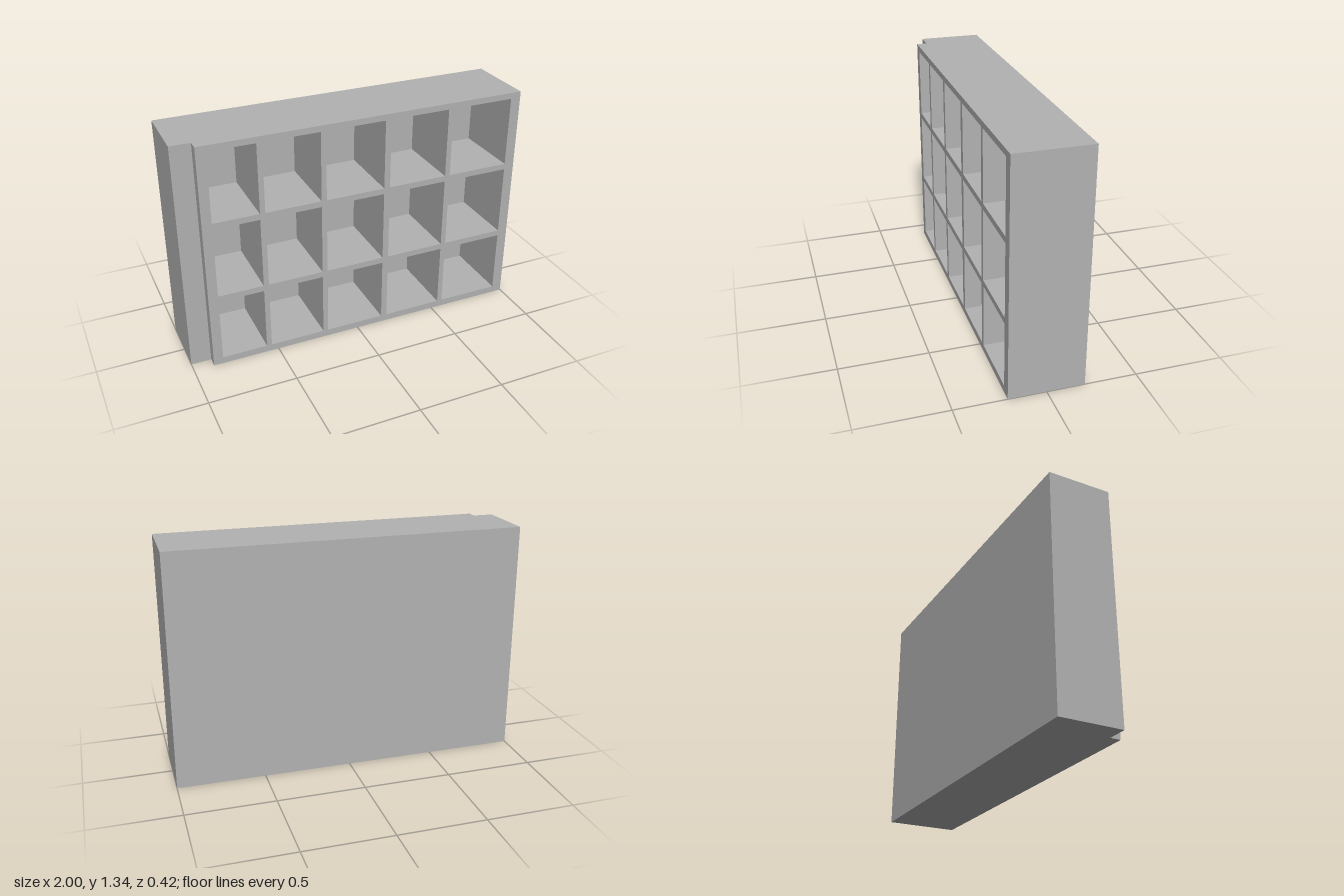
import * as THREE from 'three';

const HEIGHT = 1.34, FRONT = 0.21, BACK = -0.21, PANEL = 0.015;
const SIDE_X = -0.885; // where the set-back side strip meets the case

// Openings of the compartments, as [from, to]
const columns = [[-0.83, -0.57], [-0.54, -0.22], [-0.19, 0.155], [0.19, 0.54], [0.57, 0.94]];
const rows = [[0.04, 0.415], [0.45, 0.865], [0.9, 1.305]];

function trace(path, x0, y0, x1, y1) {
  path.moveTo(x0, y0);
  path.lineTo(x1, y0);
  path.lineTo(x1, y1);
  path.lineTo(x0, y1);
  path.closePath();
  return path;
}

function box(name, x0, x1, z0, z1, material) {
  const mesh = new THREE.Mesh(new THREE.BoxGeometry(x1 - x0, HEIGHT, z1 - z0), material);
  mesh.position.set((x0 + x1) / 2, HEIGHT / 2, (z0 + z1) / 2);
  mesh.name = name;
  return mesh;
}

export function createModel() {
  const group = new THREE.Group();
  group.name = 'shelfUnit';
  const grey = new THREE.MeshStandardMaterial({ color: 0xb2b2b2 });
  grey.name = 'plain grey';

  // Case with uprights and shelves: one slab pierced by the compartments
  const outline = trace(new THREE.Shape(), SIDE_X, 0, 1, HEIGHT);
  for (const [x0, x1] of columns) {
    for (const [y0, y1] of rows) outline.holes.push(trace(new THREE.Path(), x0, y0, x1, y1));
  }
  const lattice = new THREE.Mesh(
    new THREE.ExtrudeGeometry(outline, { depth: FRONT - BACK - PANEL, bevelEnabled: false }),
    grey
  );
  lattice.position.z = BACK + PANEL;
  lattice.name = 'shelfLattice';
  group.add(lattice);

  // Thin back panel and the side strip set back from the front
  group.add(box('backPanel', SIDE_X, 1, BACK, BACK + PANEL, grey));
  group.add(box('sideStrip', -1, SIDE_X, BACK, 0.15, grey));
  return group;
}
